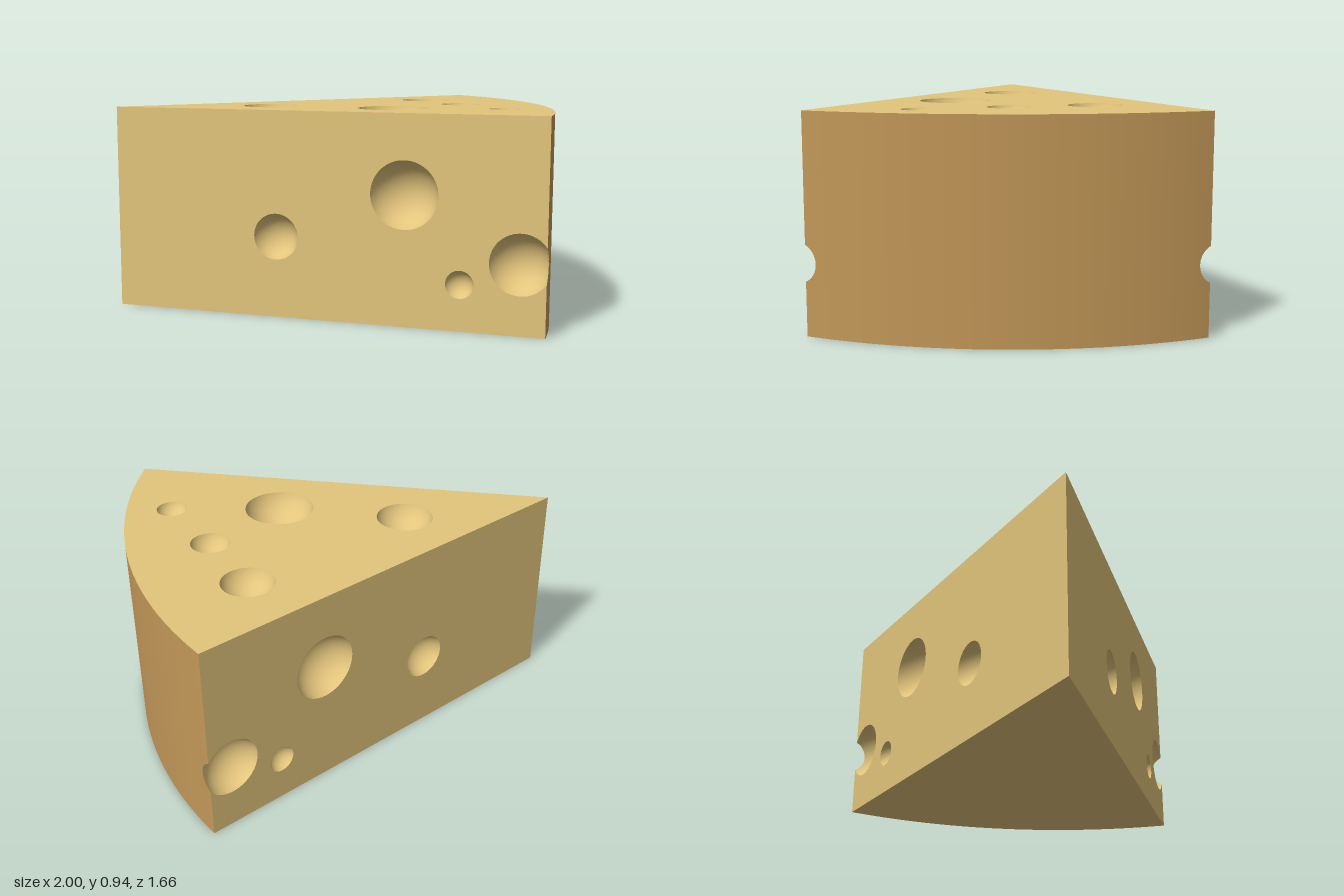
import * as THREE from 'three';

const R = 2, A = 0.429, H = 0.94;            // wedge radius, half angle, height
const OFFSET = 0.25;                         // hole spheres sit slightly outside the face
const SEG = 72, RINGS = 12;
const EDGE_HOLE = { r: 0.135, y: 0.31, reach: 0.135 * Math.cos(Math.PI * 35 / 180) };

const cheese = new THREE.MeshStandardMaterial({ color: 0xe3c57c });
cheese.name = 'cheese';
const rind = new THREE.MeshStandardMaterial({ color: 0xc39858 });
rind.name = 'rind';

const sphere = (r) => {
  const radius = r / Math.sqrt(1 - OFFSET * OFFSET);
  return { radius, c: radius * OFFSET };
};

function add(parent, name, geometry, material) {
  const mesh = new THREE.Mesh(geometry, material);
  mesh.name = name;
  parent.add(mesh);
}

// Outline point of a hole; limit(angle) cuts it off at the wedge's edge
function outline(h, i) {
  const t = (i / SEG) * Math.PI * 2;
  const rho = h.limit ? h.limit(t) : h.r;
  return new THREE.Vector2(h.x + rho * Math.cos(t), h.y + rho * Math.sin(t));
}

// Concave spherical hollow sunk into the plane z = 0
function hollow(h) {
  const { radius, c } = sphere(h.r), pos = [], nor = [], idx = [];
  for (let k = 0; k <= RINGS; k++) {
    const f = Math.sin((k / RINGS) * Math.PI / 2);
    for (let i = 0; i <= SEG; i++) {
      const p = outline(h, i);
      const dx = (p.x - h.x) * f, dy = (p.y - h.y) * f;
      const dz = Math.sqrt(radius * radius - dx * dx - dy * dy);
      pos.push(h.x + dx, h.y + dy, c - dz);
      nor.push(-dx / radius, -dy / radius, dz / radius);
      if (k < RINGS && i < SEG) {
        const a = k * (SEG + 1) + i, b = a + SEG + 1;
        if (k > 0) idx.push(a, b, a + 1);
        idx.push(b, b + 1, a + 1);
      }
    }
  }
  return toGeometry(pos, nor, idx);
}

function toGeometry(pos, nor, idx) {
  const g = new THREE.BufferGeometry();
  g.setAttribute('position', new THREE.Float32BufferAttribute(pos, 3));
  g.setAttribute('normal', new THREE.Float32BufferAttribute(nor, 3));
  g.setIndex(idx);
  return g;
}

// Flat face with round holes and a hollow behind each
function holedFace(name, points, holes, edgeHole) {
  const group = new THREE.Group();
  group.name = name;
  const shape = new THREE.Shape(points);
  for (const h of holes) {
    const ring = [];
    for (let i = 0; i < SEG; i++) ring.push(outline(h, i));
    shape.holes.push(new THREE.Path(ring));
  }
  add(group, name + 'Surface', new THREE.ShapeGeometry(shape), cheese);
  const all = edgeHole ? [...holes, edgeHole] : holes;
  all.forEach((h, i) => add(group, name + 'Hollow' + (i + 1), hollow(h), cheese));
  return group;
}

// Wedge plan: point at x = -1, arc on the +x side
function plan() {
  const pts = [new THREE.Vector2(-1, 0)];
  for (let i = 0; i <= 48; i++) {
    const t = -A + (2 * A * i) / 48;
    pts.push(new THREE.Vector2(R * Math.cos(t) - 1, R * Math.sin(t)));
  }
  return pts;
}

// Cut side; sign 1 is the front, -1 the mirrored back
function cutSide(name, sign) {
  const holes = [[0.787, 0.37, 0.105], [1.38, 0.585, 0.152], [1.628, 0.207, 0.062]]
    .map(([s, y, r]) => ({ x: sign * s, y, r }));
  const { r, y, reach } = EDGE_HOLE;
  const edgeHole = {
    x: sign * (R - reach), y, r,
    limit: (t) => {
      const k = Math.cos(t) * sign;
      return k > 0 ? Math.min(r, reach / k) : r;
    },
  };
  const pts = [new THREE.Vector2(0, 0), new THREE.Vector2(sign * R, 0)];
  // Outline runs round the hole that breaks through the edge
  for (let deg = 325; deg >= 35; deg -= 5) {
    const t = deg * Math.PI / 180;
    pts.push(new THREE.Vector2(sign * (R - reach + r * Math.cos(t)), y + r * Math.sin(t)));
  }
  pts.push(new THREE.Vector2(sign * R, H), new THREE.Vector2(0, H));
  const side = holedFace(name, pts, holes, edgeHole);
  side.position.x = -1;
  side.rotation.y = sign > 0 ? -A : Math.PI + A;
  return side;
}

// Curved rind: an upper and a lower strip that part at the two notches
function rindGeometry() {
  const { radius, c } = sphere(EDGE_HOLE.r);
  const chord2 = radius * radius - EDGE_HOLE.reach ** 2;
  const depth = Math.sqrt(chord2) - c;
  const half = [];
  for (let i = 0; i <= 16; i++) half.push(A - (depth * Math.sin((i / 16) * Math.PI / 2)) / R);
  const inner = half[16], angles = half.map((t) => -t);
  for (let i = 1; i < 48; i++) angles.push(-inner + (2 * inner * i) / 48);
  angles.push(...half.reverse());

  const pos = [], nor = [], idx = [];
  angles.forEach((t, j) => {
    const d = (A - Math.abs(t)) * R;
    const gap = Math.sqrt(Math.max(0, chord2 - (d + c) ** 2));
    for (const y of [0, EDGE_HOLE.y - gap, EDGE_HOLE.y + gap, H]) {
      pos.push(R * Math.cos(t) - 1, y, R * Math.sin(t));
      nor.push(Math.cos(t), 0, Math.sin(t));
    }
    if (j === 0) return;
    for (const row of [0, 2]) {
      const a = (j - 1) * 4 + row, b = a + 4;
      idx.push(a, a + 1, b, b, a + 1, b + 1);
    }
  });
  return toGeometry(pos, nor, idx);
}

export function createModel() {
  const model = new THREE.Group();
  model.name = 'cheeseWedge';

  const topHoles = [[-0.28, 0, 0.13], [0.26, 0.243, 0.16], [0.535, -0.37, 0.118],
    [0.63, 0, 0.09], [0.75, 0.368, 0.07]].map(([x, z, r]) => ({ x, y: -z, r }));
  const top = holedFace('top', plan(), topHoles);
  top.rotation.x = -Math.PI / 2;
  top.position.y = H;

  const bottom = holedFace('bottom', plan(), []);
  bottom.rotation.x = Math.PI / 2;

  model.add(top, bottom, cutSide('frontSide', 1), cutSide('backSide', -1));
  add(model, 'rind', rindGeometry(), rind);
  return model;
}
